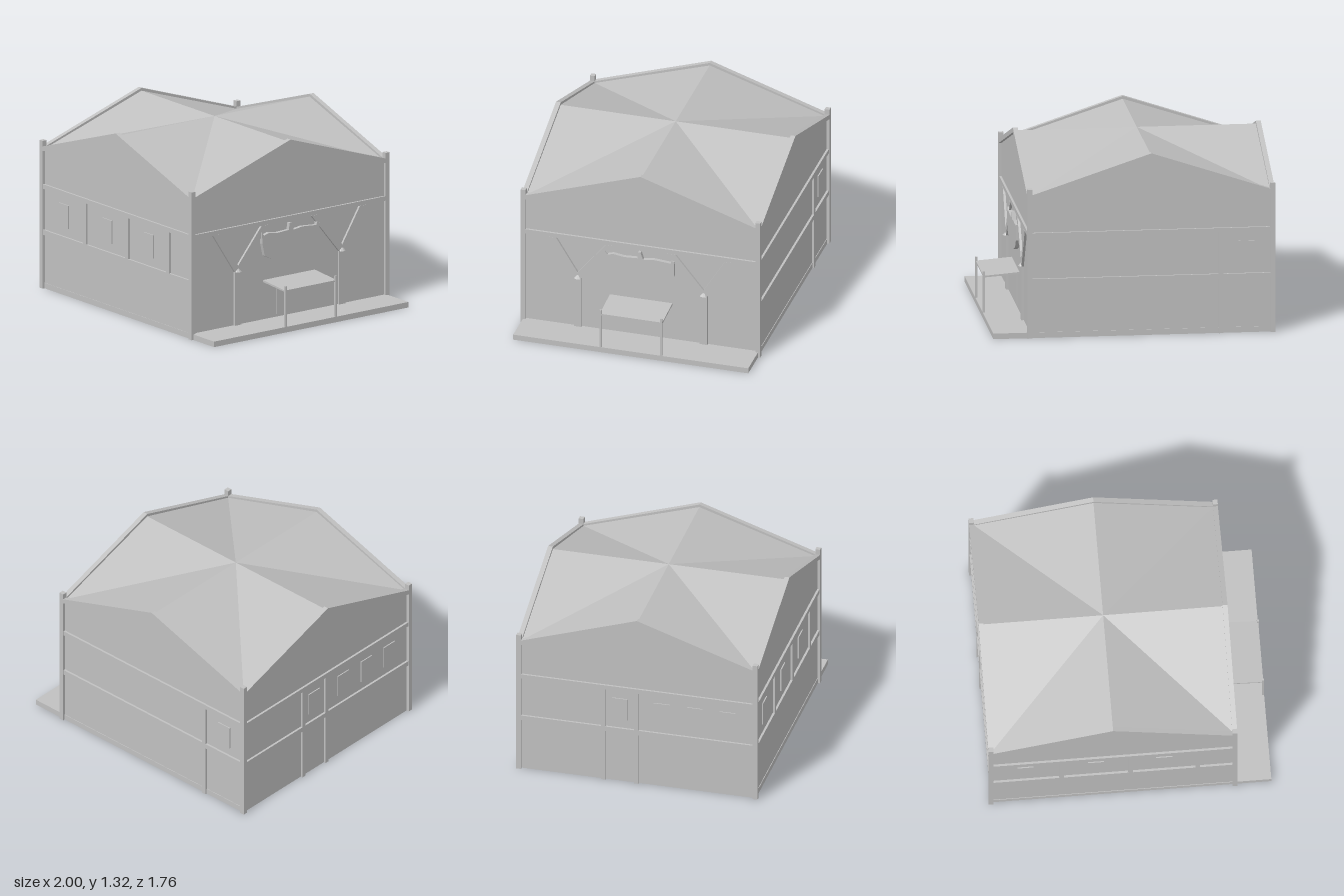
import * as THREE from 'three';

const CX = -0.12;      // centre of the square hall
const R = 0.88;        // half width to the outer face of the frame
const WALL = 0.86;     // recessed wall face
const T = 0.035;       // timber size

export function createModel() {
  const grey = new THREE.MeshStandardMaterial({ color: 0xc0c0c0 });
  grey.name = 'plain grey';
  const model = new THREE.Group();
  model.name = 'hall';

  const add = (parent, geo, name, x = 0, y = 0, z = 0) => {
    const m = new THREE.Mesh(geo, grey);
    m.name = name;
    m.position.set(x, y, z);
    parent.add(m);
    return m;
  };
  // Box given by its extents
  const box = (parent, name, x0, x1, y0, y1, z0, z1) =>
    add(parent, new THREE.BoxGeometry(x1 - x0, y1 - y0, z1 - z0), name,
      (x0 + x1) / 2, (y0 + y1) / 2, (z0 + z1) / 2);
  // Flat outline pushed out from z0 to z1
  const plate = (parent, name, pts, z0, z1) => {
    const shape = new THREE.Shape(pts.map(p => new THREE.Vector2(p[0], p[1])));
    return add(parent, new THREE.ExtrudeGeometry(shape, { depth: z1 - z0, bevelEnabled: false }), name, 0, 0, z0);
  };

  // One gabled side: u runs to the right seen from outside, z points outward
  const makeSide = (name, angle) => {
    const g = new THREE.Group();
    g.name = name;
    g.position.x = CX;
    g.rotation.y = angle;
    model.add(g);
    plate(g, 'gableWall', [[-WALL, 0], [WALL, 0], [WALL, 1.015], [0, 1.3], [-WALL, 1.015]], WALL - 0.03, WALL);
    plate(g, 'gableTrim', [[-R, 0.993], [0, 1.285], [R, 0.993], [R, 1.028], [0, 1.32], [-R, 1.028]], R - T, R);
    box(g, 'cornerPillar', R - T, R, 0, 1.08, R - T, R);
    box(g, 'upperBeam', -R + T, R - T, 0.73, 0.763, WALL - 0.01, R - 0.004);
    return g;
  };
  const lowerBeam = g => box(g, 'lowerBeam', -R + T, R - T, 0.393, 0.43, WALL - 0.01, R - 0.004);
  const post = (g, u, y0) => box(g, 'wallPost', u - 0.016, u + 0.016, y0, 0.73, WALL - 0.01, R - 0.004);
  const windowPane = (g, u) => box(g, 'window', u - 0.057, u + 0.057, 0.495, 0.665, WALL - 0.001, WALL + 0.008);

  // Front, back and plain end walls
  const front = makeSide('frontSide', 0);
  lowerBeam(front);
  [-0.365, 0.123, 0.598].forEach(u => post(front, u, 0.43));
  [-0.62, -0.12, 0.362].forEach(u => windowPane(front, u));

  const back = makeSide('backSide', Math.PI);
  lowerBeam(back);
  post(back, 0.495, 0);
  windowPane(back, 0.677);

  const end = makeSide('plainEnd', -Math.PI / 2);
  lowerBeam(end);
  [-0.245, -0.005].forEach(u => post(end, u, 0));
  [-0.127, 0.177, 0.418, 0.658].forEach(u => windowPane(end, u));

  // Entrance wall with forked supports, sign board and door
  const entry = makeSide('entranceEnd', Math.PI / 2);
  for (const s of [-1, 1]) {
    box(entry, 'supportPost', s * 0.4625 - 0.0275, s * 0.4625 + 0.0275, 0.04, 0.43, WALL - 0.01, R - 0.003);
    plate(entry, 'outerBrace', [[s * 0.49, 0.43], [s * 0.685, 0.73], [s * 0.62, 0.73], [s * 0.4625, 0.475], [s * 0.4625, 0.43]], WALL - 0.01, R - 0.003);
    plate(entry, 'innerBrace', [[s * 0.435, 0.43], [s * 0.19, 0.73], [s * 0.255, 0.73], [s * 0.4625, 0.475], [s * 0.4625, 0.43]], WALL - 0.01, R - 0.003);
    add(entry, new THREE.ConeGeometry(0.03, 0.035, 8).toNonIndexed(), 'supportCap', s * 0.4625, 0.4475, 0.868)
      .geometry.computeVertexNormals();
  }
  plate(entry, 'signBoard', [
    [-0.26, 0.685], [-0.24, 0.66], [-0.2, 0.672], [-0.12, 0.66], [-0.02, 0.665], [-0.015, 0.713],
    [0.003, 0.713], [0.022, 0.66], [0.1, 0.67], [0.225, 0.66], [0.23, 0.682], [0.25, 0.675],
    [0.25, 0.56], [0.2, 0.5], [0.09, 0.46], [-0.18, 0.48], [-0.235, 0.51], [-0.255, 0.6],
  ], WALL - 0.01, 0.888);
  box(entry, 'door', -0.11, 0.11, 0.06, 0.285, WALL - 0.001, WALL + 0.008);

  // Canopy over the door on two slim posts
  plate(entry, 'canopy', [[WALL, 0.313], [1.115, 0.294], [1.115, 0.306], [WALL, 0.327]], -0.23, 0.23)
    .rotation.y = -Math.PI / 2;
  entry.getObjectByName('canopy').position.set(0.23, 0, 0);
  for (const s of [-1, 1]) {
    box(entry, 'canopyPost', s * 0.2225 - 0.0075, s * 0.2225 + 0.0075, 0.04, 0.337, 1.105, 1.12);
  }

  // Floor slab, extended as a platform at the entrance
  box(model, 'floorSlab', CX - WALL, 1, 0, 0.04, -0.864, 0.864);

  // Cross-gabled roof: level ridges to each gable, valleys to the corners
  const e = R - T / 2, low = 1.02, top = 1.3;
  const verts = [];
  for (let i = 0; i < 4; i++) {
    const c = Math.round(Math.cos(i * Math.PI / 2)), s = Math.round(Math.sin(i * Math.PI / 2));
    const at = (x, y, z) => [x * c + z * s, y, z * c - x * s];
    verts.push(...at(0, top, 0), ...at(0, top, e), ...at(e, low, e));
    verts.push(...at(0, top, 0), ...at(-e, low, e), ...at(0, top, e));
  }
  const roof = new THREE.BufferGeometry();
  roof.setAttribute('position', new THREE.Float32BufferAttribute(verts, 3));
  roof.computeVertexNormals();
  add(model, roof, 'roof', CX);

  return model;
}
